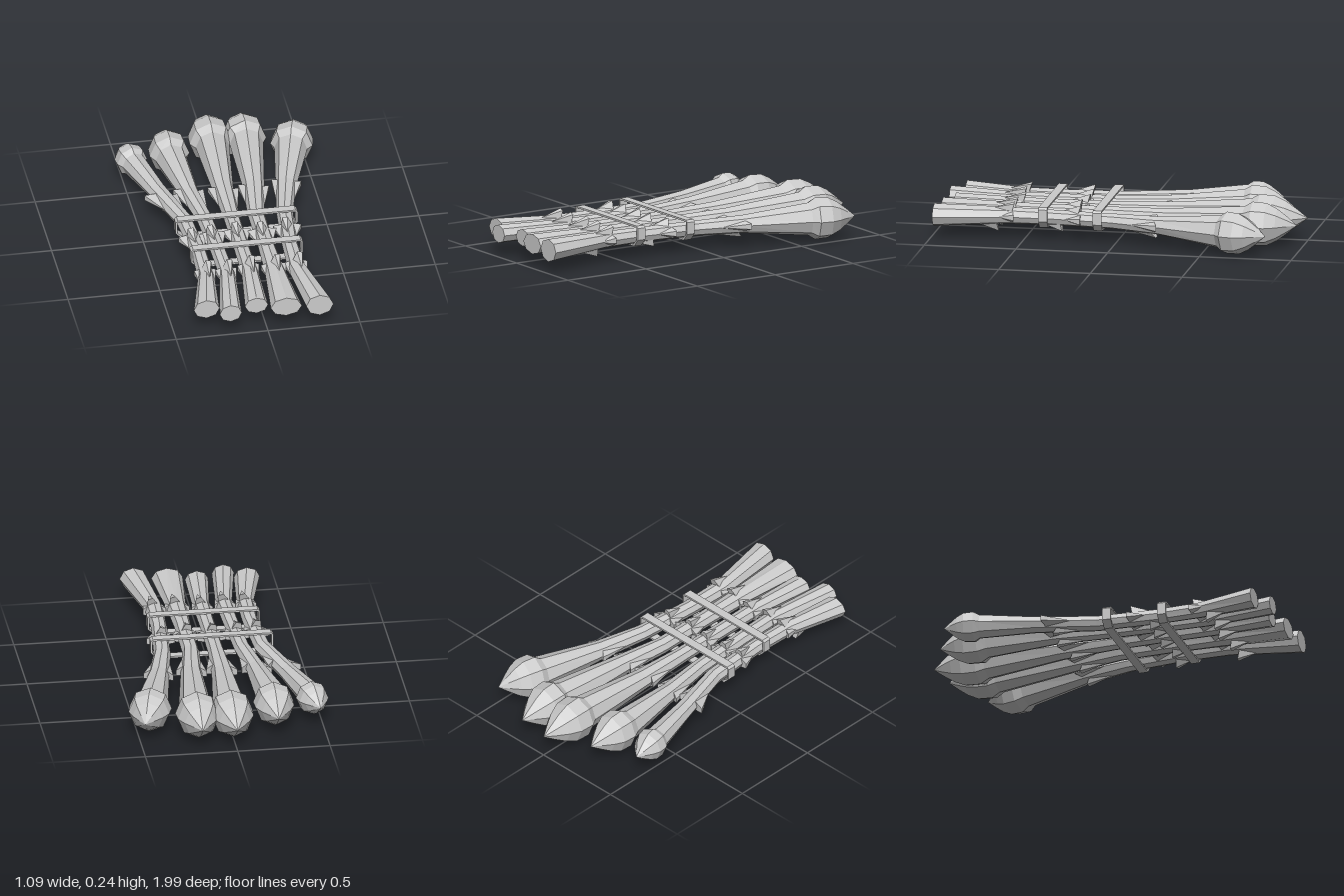
import * as THREE from 'three';
import { ConvexGeometry } from 'three/addons/geometries/ConvexGeometry.js';

const SIDES = 8;
const MID_Y = 0.124;
const material = new THREE.MeshStandardMaterial({ color: 0xcccccc, flatShading: true, side: THREE.DoubleSide });

// Each stem: rings [x, z, half width, half height] from cut end to neck,
// then the bud: neck centre, tip and radius.
const STEMS = [
  { rings: [[-0.32, 0.92, 0.07, 0.055], [-0.265, 0.6, 0.045, 0.043], [-0.26, 0.35, 0.042, 0.042],
    [-0.28, 0.02, 0.045, 0.042], [-0.37, -0.3, 0.05, 0.045]], neck: [-0.445, -0.59], tip: [-0.48, -0.78], r: 0.087 },
  { rings: [[-0.2, 0.985, 0.06, 0.05], [-0.15, 0.6, 0.044, 0.043], [-0.155, 0.35, 0.042, 0.042],
    [-0.17, 0.02, 0.044, 0.042], [-0.205, -0.24, 0.052, 0.05]], neck: [-0.24, -0.61], tip: [-0.24, -0.885], r: 0.113 },
  { rings: [[-0.05, 0.93, 0.063, 0.047], [-0.026, 0.6, 0.046, 0.043], [-0.026, 0.35, 0.043, 0.042],
    [-0.025, 0.02, 0.044, 0.044], [-0.02, -0.27, 0.058, 0.055]], neck: [0, -0.69], tip: [0, -1], r: 0.121 },
  { rings: [[0.105, 0.97, 0.085, 0.055], [0.108, 0.6, 0.055, 0.046], [0.108, 0.35, 0.046, 0.043],
    [0.11, 0.02, 0.046, 0.044], [0.145, -0.25, 0.058, 0.055]], neck: [0.185, -0.69], tip: [0.185, -0.975], r: 0.121 },
  { rings: [[0.285, 0.985, 0.074, 0.062], [0.23, 0.6, 0.05, 0.046], [0.235, 0.35, 0.043, 0.042],
    [0.265, 0.02, 0.045, 0.042], [0.32, -0.24, 0.055, 0.05]], neck: [0.41, -0.6], tip: [0.48, -0.855], r: 0.115 },
];

// Bud profile: [fraction from neck to tip, radius factor]
const BUD = [[0, 0.78], [0.15, 1], [0.42, 0.96], [0.62, 0.72], [0.82, 0.36], [1, 0]];

// Surface through eight-sided rings, square to the run of the stem, with a flat cut end.
function loft(rings) {
  const pos = [], idx = [];
  rings.forEach(([x, z, w, h], i) => {
    const p = rings[Math.max(i - 1, 0)], n = rings[Math.min(i + 1, rings.length - 1)];
    const lean = i === 0 ? 0 : (n[0] - p[0]) / (n[1] - p[1]);
    for (let j = 0; j < SIDES; j++) {
      const a = (j / SIDES) * Math.PI * 2;
      const ox = w * Math.cos(a);
      pos.push(x + ox, MID_Y + h * Math.sin(a), z - lean * ox);
    }
  });
  for (let i = 0; i < rings.length - 1; i++) {
    for (let j = 0; j < SIDES; j++) {
      const a = i * SIDES + j, b = i * SIDES + (j + 1) % SIDES;
      idx.push(a, a + SIDES, b, b, a + SIDES, b + SIDES);
    }
  }
  for (let j = 1; j < SIDES - 1; j++) idx.push(0, j, j + 1);
  const g = new THREE.BufferGeometry();
  g.setAttribute('position', new THREE.Float32BufferAttribute(pos, 3));
  g.setIndex(idx);
  const flat = g.toNonIndexed();
  flat.computeVertexNormals();
  return flat;
}

// Interpolated ring at a given z
function ringAt(rings, z) {
  let i = 0;
  while (i < rings.length - 2 && rings[i + 1][1] > z) i++;
  const a = rings[i], b = rings[i + 1], t = (z - a[1]) / (b[1] - a[1]);
  return a.map((v, k) => v + (b[k] - v) * t);
}

// Pointed wedge hugging the stem, flaring outwards towards the bud
function scaleGeometry(length, width, flare) {
  const w = width / 2;
  return new ConvexGeometry([
    new THREE.Vector3(0, 0, length),
    new THREE.Vector3(0, -0.02, length * 0.9),
    new THREE.Vector3(-w * 0.5, flare, 0), new THREE.Vector3(w * 0.5, flare, 0),
    new THREE.Vector3(-w, -0.015, -0.02 + length * 0.3), new THREE.Vector3(w, -0.015, -0.02 + length * 0.3),
  ]);
}

// Scale groups along a stem: tip z, then [angle, z shift, length, flare] for each scale
const NODES = [
  { z: 0.55, scales: [[0, 0, 0.1, 0.015], [180, 0, 0.1, 0.015], [75, 0, 0.12, 0.034], [265, 0.09, 0.11, 0.036]] },
  { z: 0.19, scales: [[0, 0, 0.1, 0.035], [180, 0, 0.1, 0.035], [100, 0.01, 0.1, 0.033], [280, 0.11, 0.1, 0.03]] },
  { z: -0.27, scales: [[0, 0.03, 0.17, 0.032], [180, 0, 0.17, 0.032], [265, 0.05, 0.15, 0.022]] },
];

// Flat closed strap around the bundle
function strap(x0, x1, z) {
  const top = 0.187, low = 0.11, base = 0.072, t = 0.01, c = 0.035;
  const outline = (d) => [[x0 + d, low], [x0 + d, top - 0.012], [x0 + 0.012 + d, top - d], [x1 - 0.012 - d, top - d],
    [x1 - d, top - 0.012], [x1 - d, low], [x1 - c - d, base + d], [x0 + c + d, base + d]]
    .map(([x, y]) => new THREE.Vector2(x, y));
  const shape = new THREE.Shape(outline(0));
  shape.holes.push(new THREE.Path(outline(t)));
  const g = new THREE.ExtrudeGeometry(shape, { depth: 0.048, bevelEnabled: false });
  g.translate(0, 0, z - 0.024);
  const mesh = new THREE.Mesh(g, material);
  mesh.name = 'strap';
  return mesh;
}

export function createModel() {
  const model = new THREE.Group();
  model.name = 'stemBundle';

  STEMS.forEach(({ rings, neck, tip, r }, s) => {
    const stem = new THREE.Group();
    stem.name = `stem${s + 1}`;

    // Stalk and bud in one run
    const bud = BUD.map(([t, f]) => [neck[0] + (tip[0] - neck[0]) * t, neck[1] + (tip[1] - neck[1]) * t, r * f * 0.96, r * f]);
    const all = [...rings, ...bud];
    const stalk = new THREE.Mesh(loft(all), material);
    stalk.name = 'stalkAndBud';
    stem.add(stalk);

    // Leaf scales
    NODES.forEach((node, n) => node.scales.forEach(([deg, dz, length, flare]) => {
      const jitter = 0.012 * Math.sin(s * 2.3 + n);
      const big = n === 2 && s === 0 && deg === 180 ? 1.5 : 1;
      const z = node.z + dz + jitter;
      const [x, , w, h] = ringAt(all, z + length * 0.5);
      const [xTip] = ringAt(all, z);
      const a = THREE.MathUtils.degToRad(deg);
      const leaf = new THREE.Mesh(scaleGeometry(length, 0.06, flare * big), material);
      leaf.name = 'leafScale';
      leaf.rotation.order = 'YXZ';
      leaf.rotation.set(0, Math.atan2(x - xTip, length * 0.5), a - Math.PI / 2);
      leaf.position.set(xTip + w * 0.95 * Math.cos(a), MID_Y + h * 0.95 * Math.sin(a), z);
      stem.add(leaf);
    }));
    model.add(stem);
  });

  // Two straps
  model.add(strap(-0.345, 0.32, 0.092), strap(-0.315, 0.295, 0.393));
  return model;
}
